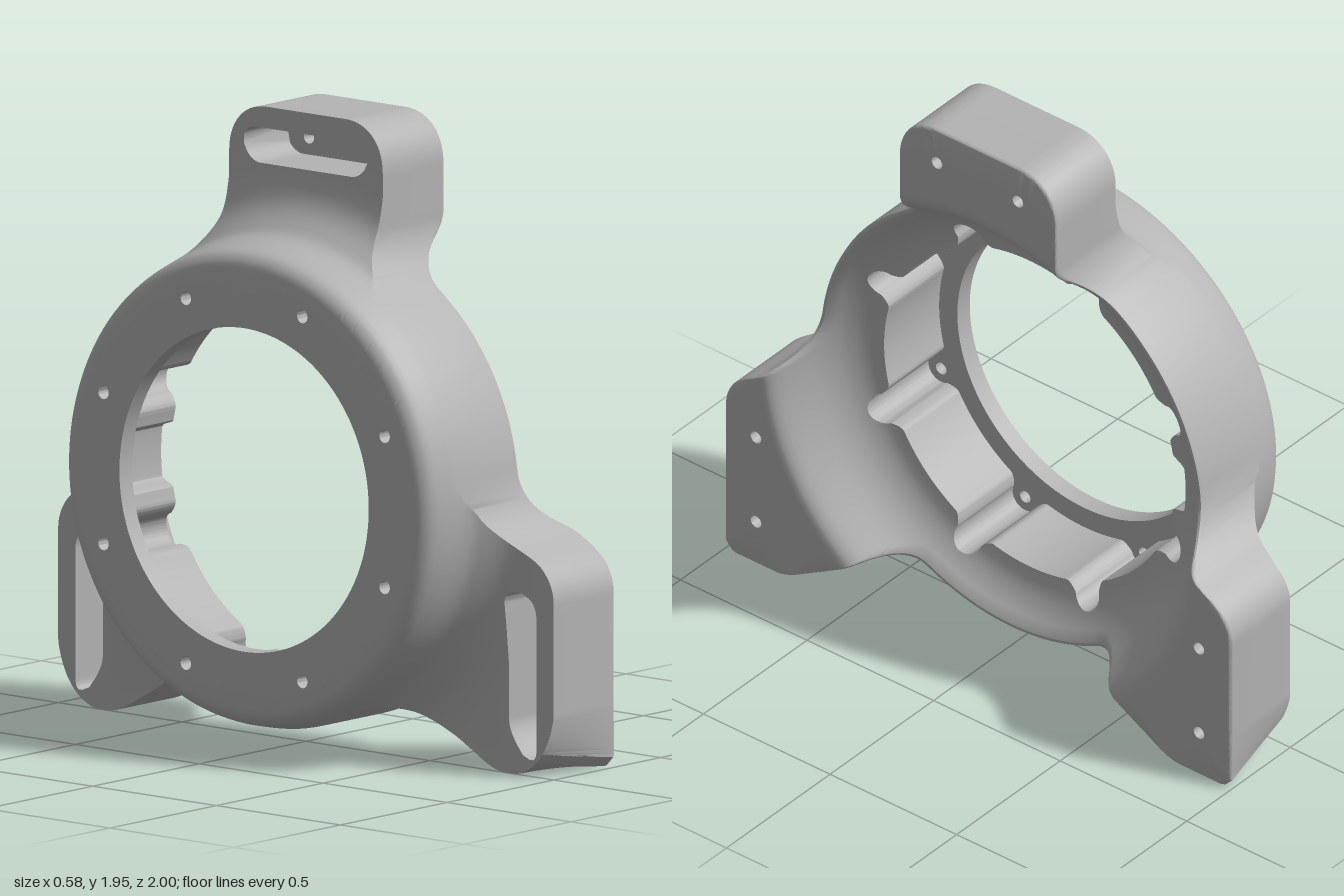
import * as THREE from 'three';
import { toCreasedNormals } from 'three/addons/utils/BufferGeometryUtils.js';

const CY = 0.822;           // height of the bore axis (runs along x)
const BORE = 0.503, FACE = -0.29, FLOOR = -0.23, WALL = 0.575, LOBE = 0.05;
const clamp = (v, lo, hi) => Math.min(Math.max(v, lo), hi);
const rad = THREE.MathUtils.degToRad;

// Half outline in (z, y - CY) from top to bottom; the lower corner is cut back on the front
function outline(cut) {
  const p = new THREE.Path();
  p.moveTo(0, 1.132);
  p.lineTo(0.16, 1.132);
  p.bezierCurveTo(0.25, 1.132, 0.31, 1.07, 0.31, 0.98);
  p.lineTo(0.31, 0.8);
  p.quadraticCurveTo(0.315, 0.7, 0.45, 0.607);
  p.absarc(0, 0, 0.755, rad(53.4), rad(8), true);
  p.bezierCurveTo(0.765, -0.03, 0.81, -0.085, 0.9, -0.135);
  p.quadraticCurveTo(1, -0.19, 1, -0.28);
  if (cut) {
    p.lineTo(1, -0.63);
    p.quadraticCurveTo(0.97, -0.79, 0.85, -0.822);
  } else {
    p.lineTo(1, -0.79);
    p.lineTo(0.97, -0.822);
  }
  p.lineTo(0.8, -0.822);
  p.quadraticCurveTo(0.76, -0.822, 0.7, -0.785);
  p.lineTo(0.5, -0.672);
  p.quadraticCurveTo(0.42, -0.632, 0.331, -0.679);
  p.absarc(0, 0, 0.755, rad(-64), rad(-90), true);
  return p.getPoints(24);
}

// Distance from the axis to the outline in direction th
function reach(points, th) {
  const dx = Math.abs(Math.cos(th)), dy = Math.sin(th);
  const psi = Math.atan2(dx, dy);
  for (let i = 0; i < points.length - 1; i++) {
    const p = points[i], q = points[i + 1];
    if (Math.atan2(q.x, q.y) < psi - 1e-9 && i < points.length - 2) continue;
    const ex = q.x - p.x, ey = q.y - p.y, den = dx * ey - dy * ex;
    if (Math.abs(den) < 1e-9) continue;
    return (p.x * ey - p.y * ex) / den;
  }
  return 0.755;
}

// Revolved front and rear surfaces as x over radius
const curve = (pts) => new THREE.SplineCurve(pts.map(([r, x]) => new THREE.Vector2(r, x))).getPoints(20);
const frontCurve = curve([[0.68, -0.29], [0.705, -0.284], [0.732, -0.258], [0.748, -0.2], [0.766, -0.12],
  [0.795, -0.08], [0.835, -0.042], [0.885, -0.016], [0.955, 0]]);
const rearCurve = curve([[0.57, 0.035], [0.62, 0.045], [0.66, 0.063], [0.7, 0.092], [0.735, 0.13], [0.765, 0.172],
  [0.8, 0.225], [0.828, 0.264], [0.855, 0.284], [0.885, 0.288]]);
function along(c, r) {
  if (r <= c[0].x) return c[0].y;
  for (let i = 1; i < c.length; i++) {
    if (r <= c[i].x) return THREE.MathUtils.mapLinear(r, c[i - 1].x, c[i].x, c[i - 1].y, c[i].y);
  }
  return c[c.length - 1].y;
}

// Bolt holes in polar form
const hole = (z, y, h) => ({ c: Math.hypot(z, y), a: Math.atan2(y, z), h });
const padHoles = [];
for (const s of [1, -1]) {
  padHoles.push(hole(0.16 * s, 1.01, 0.021), hole(0.875 * s, -0.347, 0.021), hole(0.875 * s, -0.664, 0.021));
}
const ringHoles = [];
for (let i = 0; i < 8; i++) {
  const a = rad(22.5 + 45 * i);
  ringHoles.push(hole(0.614 * Math.cos(a), 0.614 * Math.sin(a), 0.021));
}
const apart = (a, b) => Math.abs(Math.atan2(Math.sin(a - b), Math.cos(a - b)));

// Where a ray crosses the nearest hole: middle radius and half chord
function chord(holes, th, size) {
  let best = holes[0];
  for (const k of holes) if (apart(k.a, th) < apart(best.a, th)) best = k;
  const d = apart(best.a, th), h = size || best.h;
  return { d, mid: best.c * Math.cos(d), w: Math.sqrt(Math.max(0, h * h - (best.c * Math.sin(d)) ** 2)) };
}

// Stadium pocket on the front of each pad
function pocket(th) {
  const top = apart(th, Math.PI / 2) < rad(45);
  const d = top ? 1.01 : 0.875, half = 0.195, hw = 0.055;
  const n = top ? Math.sin(th) : Math.abs(Math.cos(th));
  const t = d * (top ? Math.cos(th) : Math.sin(th)) / Math.max(n, 1e-6) + (top ? 0 : 0.505);
  const over = Math.max(0, Math.abs(t) - half);
  const w = Math.sqrt(Math.max(0, hw * hw - over * over));
  return { a: (d - w) / Math.max(n, 1e-6), b: (d + w) / Math.max(n, 1e-6), open: w > 1e-5 };
}

// Cavity wall with eight flared bolt lobes and one side notch
const LOBE_EDGE = Math.asin(LOBE / ringHoles[0].c);
function cavity(th) {
  const lobe = chord(ringHoles, th, LOBE);
  const notch = 0.05 * THREE.MathUtils.smoothstep(rad(10.5) - apart(th, Math.PI), 0, rad(3.5));
  const s = clamp(1 - (lobe.d - LOBE_EDGE) / rad(3.5), 0, 1);
  const flare = lobe.w > 1e-5 ? lobe.mid + lobe.w : WALL + 0.035 * s * s;
  return Math.max(WALL + notch, flare);
}

const rearOutline = outline(false), frontOutline = outline(true);

// Closed cross-section at one angle: front face outwards, outer wall, rear face inwards
function section(th) {
  const R = reach(rearOutline, th), Rf = Math.min(R, reach(frontOutline, th));
  const bevel = THREE.MathUtils.lerp(0.045, 0.012, clamp((R - 0.757) / 0.12, 0, 1));
  const C = cavity(th), out = [];
  const add = (r, x, through) => out.push({ r, x, through });
  const drill = (a, b, x, depth, open) => {
    add(a, x); add(a, open ? depth : x, open); add(b, open ? depth : x); add(b, x);
  };
  const xf = (r) => along(frontCurve, r);
  const xr = (r) => {
    const e = clamp(bevel - (R - r), 0, bevel);
    return along(rearCurve, r) - bevel + Math.sqrt(bevel * bevel - e * e);
  };
  const rh = chord(ringHoles, th), ph = chord(padHoles, th);
  const rOpen = rh.w > 1e-5, pOpen = ph.w > 1e-5;
  const rm = Math.max(rh.mid, 0.53);

  // ring front
  add(BORE, FACE);
  drill(rm - rh.w, rm + rh.w, FACE, -0.26, rOpen);
  // front fillet and pocket
  const k = pocket(th), a = Math.min(k.a, Rf - 0.004), b = Math.min(k.b, Rf - 0.004);
  const open = k.open && b > a;
  for (const p of frontCurve) add(Math.min(p.x, a), xf(Math.min(p.x, a)));
  add(a, xf(a));
  const fa = open ? 0.2 : xf(a), fb = open ? 0.2 : xf(b);
  add(a, fa);
  if (open) drill(clamp(ph.mid - ph.w, a, b), clamp(ph.mid + ph.w, a, b), 0.2, 0.24, pOpen);
  else drill(a, a, fa, fa, false);
  add(b, fb);
  add(b, xf(b));
  for (const p of frontCurve) { const r = clamp(p.x, b, Rf); add(r, xf(r)); }
  add(Rf, xf(Rf));
  // rounded rear edge
  for (const f of [0, 0.08, 0.3, 0.6, 1]) add(R - bevel * f, xr(R - bevel * f));
  // pad rear with holes, then dish
  const E = R - bevel, m = Math.max(ph.mid, 0.9);
  const ha = Math.min(m - ph.w, E), hb = Math.min(m + ph.w, E);
  add(hb, xr(hb)); add(hb, pOpen ? 0.24 : xr(hb), pOpen);
  add(ha, pOpen ? 0.24 : xr(ha)); add(ha, xr(ha));
  for (let i = rearCurve.length - 1; i >= 0; i--) {
    const r = clamp(rearCurve[i].x, C, ha);
    add(r, xr(r));
  }
  // cavity wall, floor and bore
  add(C, xr(C));
  add(C, FLOOR);
  drill(rm + rh.w, rm - rh.w, FLOOR, -0.26, rOpen);
  add(BORE, FLOOR);
  return out;
}

function housingGeometry() {
  // even angles, with extra ones at the holes and lobes
  const angles = [];
  for (let i = 0; i < 800; i++) angles.push((i / 800) * Math.PI * 2);
  const refine = (a, half) => {
    for (const s of [-1, -0.99, -0.9, -0.6, 0, 0.6, 0.9, 0.99, 1]) angles.push((a + s * half + Math.PI * 4) % (Math.PI * 2));
  };
  for (const k of [...padHoles, ...ringHoles]) refine(k.a, Math.asin(k.h / k.c));
  for (const k of ringHoles) refine(k.a, LOBE_EDGE);
  angles.sort((p, q) => p - q);
  const cols = angles.map((th) => section(th).map((p) => ({
    v: new THREE.Vector3(p.x, CY + p.r * Math.sin(th), p.r * Math.cos(th)), through: p.through })));
  const pos = [];
  const tri = (a, b, c) => {
    const area = b.clone().sub(a).cross(c.clone().sub(a)).length();
    if (area > 1e-9) for (const p of [a, b, c]) pos.push(p.x, p.y, p.z);
  };
  for (let j = 0; j < cols.length; j++) {
    const A = cols[j], B = cols[(j + 1) % cols.length], n = A.length;
    for (let i = 0; i < n; i++) {
      const k = (i + 1) % n;
      if (A[i].through && B[i].through) continue;
      tri(A[i].v, A[k].v, B[k].v);
      tri(A[i].v, B[k].v, B[i].v);
    }
  }
  const g = new THREE.BufferGeometry();
  g.setAttribute('position', new THREE.Float32BufferAttribute(pos, 3));
  return toCreasedNormals(g, 0.6);
}

export function createModel() {
  const castGrey = new THREE.MeshStandardMaterial({ color: 0xb4b4b4 });
  castGrey.name = 'castGrey';
  const housing = new THREE.Mesh(housingGeometry(), castGrey);
  housing.name = 'threePadHousing';
  const model = new THREE.Group();
  model.name = 'bearingHousing';
  model.add(housing);
  return model;
}
